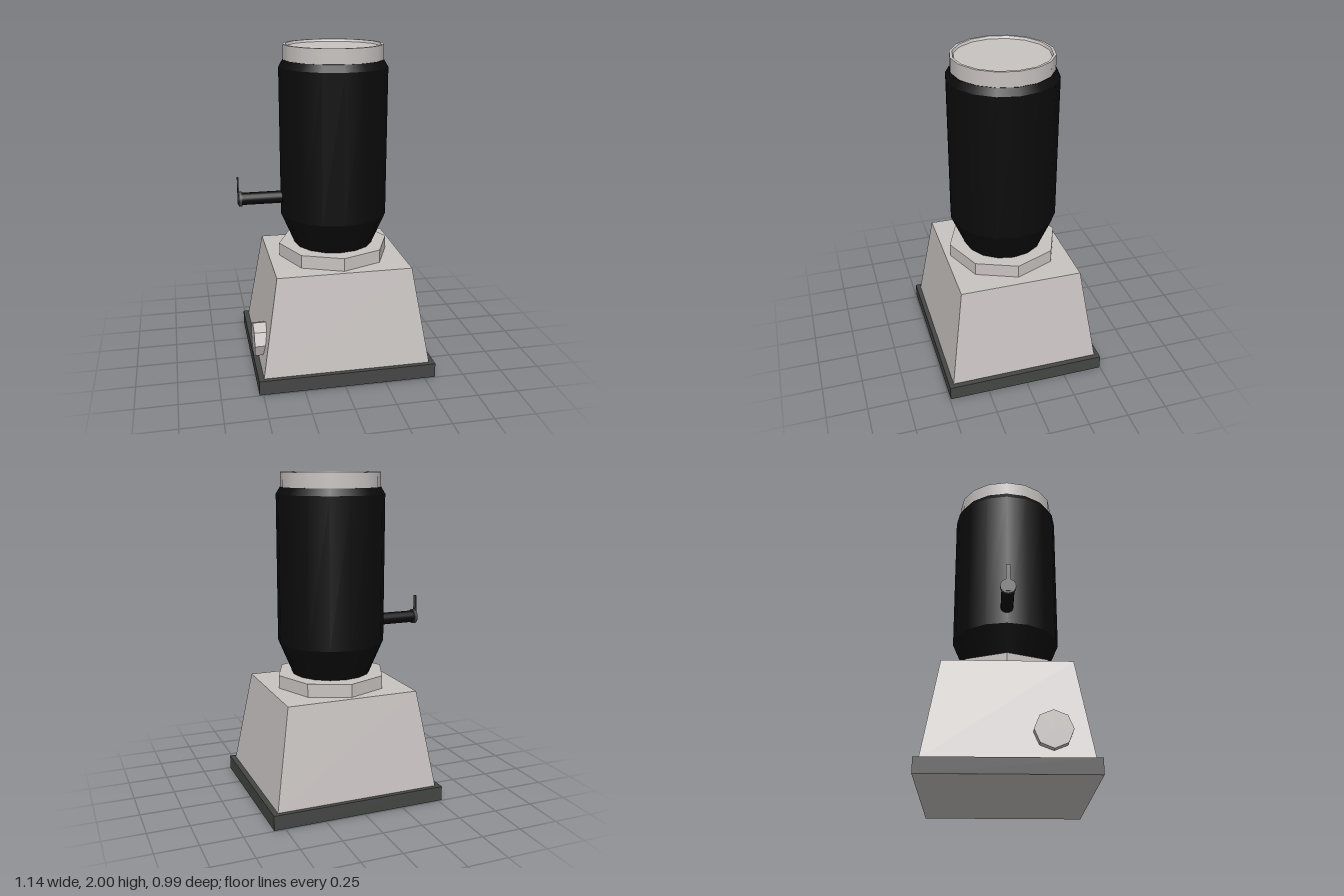
import * as THREE from 'three';

export function createModel() {
  const model = new THREE.Group();
  const mat = (name, color, flatShading = false) => {
    const m = new THREE.MeshStandardMaterial({ color, flatShading });
    m.name = name;
    return m;
  };
  const grey = mat('warm grey', 0xc8c3c1);
  const dark = mat('dark grey', 0x444644);
  const black = mat('black', 0x0b0b0b);

  const add = (name, geometry, material, x = 0, y = 0, z = 0, parent = model) => {
    const mesh = new THREE.Mesh(geometry, material);
    mesh.name = name;
    mesh.position.set(x, y, z);
    parent.add(mesh);
    return mesh;
  };
  // Separate bands keep the rings between them sharp
  const band = (name, r0, y0, r1, y1, material, parent, open = true) =>
    add(name, new THREE.CylinderGeometry(r1, r0, y1 - y0, 16, 1, open), material, 0, (y0 + y1) / 2, 0, parent);

  const cx = 0.022; // axis of the container

  // Base plate with a pale underside
  add('basePlate', new THREE.BoxGeometry(1.091, 0.09, 0.99),
    [dark, dark, dark, grey, dark, dark], cx, 0.045, 0);

  // Tapered housing
  const housing = new THREE.BoxGeometry(1.025, 0.6, 0.933);
  const p = housing.attributes.position;
  for (let i = 0; i < p.count; i++) {
    if (p.getY(i) > 0) {
      p.setX(i, p.getX(i) * 0.805);
      p.setZ(i, p.getZ(i) * 0.806);
    }
  }
  housing.computeVertexNormals();
  add('housing', housing, grey, cx, 0.39, 0);

  // Eight-sided collar and control knob
  const facet = (r, h) => {
    const g = new THREE.CylinderGeometry(r, r, h, 8).toNonIndexed();
    g.computeVertexNormals();
    return g;
  };
  add('collar', facet(0.345, 0.082), grey, cx, 0.73, 0);
  add('knob', facet(0.107, 0.12), grey, -0.468, 0.245, 0.242).rotation.z = Math.PI / 2;

  // Container
  const jug = new THREE.Group();
  jug.name = 'container';
  jug.position.x = cx;
  model.add(jug);
  band('containerTaper', 0.245, 0.77, 0.33, 0.97, black, jug);
  band('containerWall', 0.33, 0.97, 0.33, 1.87, black, jug);
  band('containerShoulder', 0.33, 1.87, 0.305, 1.912, black, jug, false);

  // Lid with a shallow recess in its top
  const lid = new THREE.Group();
  lid.name = 'lid';
  lid.position.x = cx;
  model.add(lid);
  band('lidWall', 0.302, 1.91, 0.302, 2, grey, lid);
  const ring = (name, pts) => add(name,
    new THREE.LatheGeometry(pts.map(([r, y]) => new THREE.Vector2(r, y)), 16), grey, 0, 0, 0, lid);
  ring('lidRim', [[0.302, 2], [0.286, 2]]);
  ring('lidRecessWall', [[0.286, 2], [0.279, 1.985]]);
  ring('lidTop', [[0.279, 1.985], [0, 1.985]]);

  // Side spout with end cap and lever
  const spout = new THREE.Group();
  spout.name = 'spout';
  spout.position.y = 1.075;
  model.add(spout);
  add('spoutTube', new THREE.CylinderGeometry(0.038, 0.038, 0.27, 16), black, -0.42, 0, 0, spout)
    .rotation.z = Math.PI / 2;
  add('spoutCap', new THREE.CylinderGeometry(0.046, 0.046, 0.02, 16), dark, -0.557, 0, 0, spout)
    .rotation.z = Math.PI / 2;
  add('lever', new THREE.BoxGeometry(0.008, 0.17, 0.028), dark, -0.569, 0.052, 0, spout);

  return model;
}
